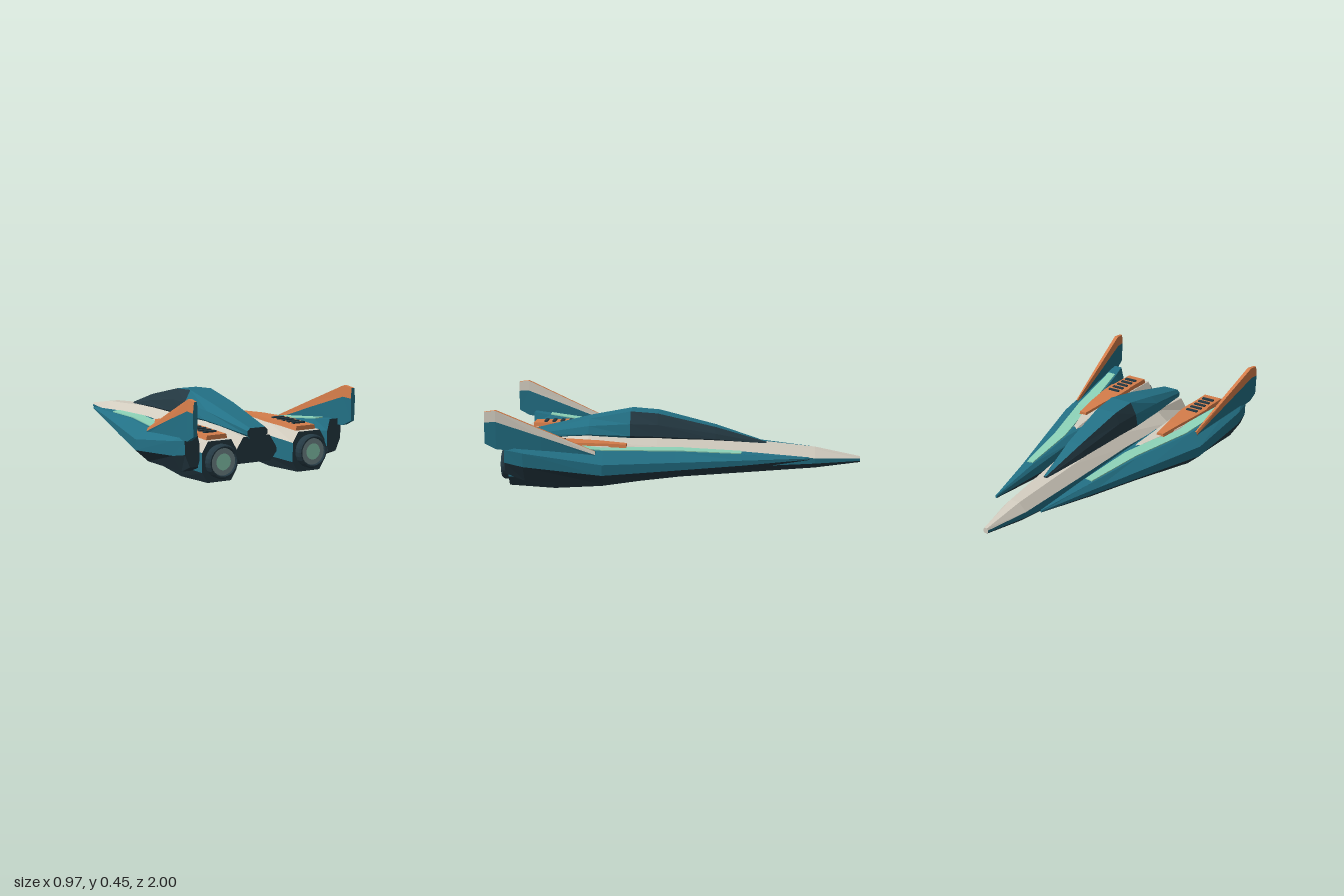
import * as THREE from 'three';

const paint = (name, color) => {
  const m = new THREE.MeshStandardMaterial({ color, flatShading: true });
  m.name = name;
  return m;
};

export function createModel() {
  const teal = paint('teal', 0x237186);
  const navy = paint('navy', 0x253a44);
  const cream = paint('cream', 0xd2ccbf);
  const orange = paint('orange', 0xd57d4a);
  const mint = paint('mint', 0x8dd3b8);
  const grey = paint('grey', 0x758b8f);
  const ship = new THREE.Group();
  ship.name = 'starfighter';

  const add = (parent, name, geo, mat) => {
    const mesh = new THREE.Mesh(geo, mat);
    mesh.name = name;
    parent.add(mesh);
    return mesh;
  };

  // Skin over rings of points (counterclockwise seen from +z, z rising).
  // One material per side, then the front cap and the rear cap.
  function loft(parent, name, rings, sides, caps = [navy, navy], sx = 1) {
    const pos = [], geo = new THREE.BufferGeometry(), mats = [];
    const n = rings[0].p.length;
    const tri = (...pts) => {
      if (sx < 0) pts.reverse();
      pts.forEach(([r, i]) => pos.push(r.p[i][0] * sx, r.p[i][1], r.z));
    };
    const group = (mat, fn) => {
      const start = pos.length / 3;
      fn();
      if (!mats.includes(mat)) mats.push(mat);
      geo.addGroup(start, pos.length / 3 - start, mats.indexOf(mat));
    };
    for (let j = 0; j < n; j++) group(sides[j], () => {
      const k = (j + 1) % n;
      for (let i = 0; i + 1 < rings.length; i++) {
        const a = rings[i], b = rings[i + 1];
        tri([a, j], [a, k], [b, k]);
        tri([a, j], [b, k], [b, j]);
      }
    });
    const first = rings[0], last = rings[rings.length - 1];
    group(caps[0], () => { for (let j = 1; j < n - 1; j++) tri([first, 0], [first, j + 1], [first, j]); });
    group(caps[1], () => { for (let j = 1; j < n - 1; j++) tri([last, 0], [last, j], [last, j + 1]); });
    geo.setAttribute('position', new THREE.Float32BufferAttribute(pos, 3));
    geo.computeVertexNormals();
    return add(parent, name, geo, mats);
  }
  const ring = (z, ...p) => ({ z, p });
  // Symmetric ring from its right half, listed bottom to top
  const sym = (z, ...h) => ring(z, ...h, ...h.map(([x, y]) => [-x, y]).reverse());

  // Long pointed hull
  loft(ship, 'fuselage', [
    sym(-1, [0.008, 0.1], [0.015, 0.108], [0.015, 0.12], [0.008, 0.13]),
    sym(-0.75, [0.035, 0.07], [0.07, 0.1], [0.07, 0.13], [0.028, 0.175]),
    sym(-0.3, [0.06, 0.035], [0.108, 0.08], [0.108, 0.155], [0.055, 0.212]),
    sym(0.12, [0.09, 0.005], [0.14, 0.07], [0.14, 0.18], [0.08, 0.24]),
    sym(0.5, [0.12, 0], [0.18, 0.075], [0.18, 0.19], [0.1, 0.25]),
    sym(0.82, [0.088, 0.07], [0.125, 0.115], [0.122, 0.14], [0.08, 0.205]),
  ], [navy, teal, cream, cream, cream, teal, navy, navy], [cream, navy]);

  // Canopy: dark glass sides in front, solid spine behind
  const canopyMid = sym(0.27, [0.06, 0.19], [0.112, 0.245], [0.1, 0.31], [0.065, 0.375]);
  loft(ship, 'canopy', [
    sym(-0.48, [0.006, 0.185], [0.012, 0.195], [0.01, 0.2], [0.006, 0.205]),
    sym(-0.2, [0.04, 0.19], [0.063, 0.225], [0.056, 0.255], [0.038, 0.29]),
    sym(0.12, [0.05, 0.19], [0.095, 0.24], [0.086, 0.305], [0.06, 0.365]),
    canopyMid,
  ], [navy, navy, navy, teal, navy, navy, navy, navy]);
  loft(ship, 'spine', [
    canopyMid,
    sym(0.5, [0.06, 0.19], [0.115, 0.25], [0.1, 0.295], [0.062, 0.33]),
    sym(0.83, [0.045, 0.195], [0.06, 0.215], [0.06, 0.235], [0.045, 0.25]),
  ], Array(8).fill(teal));

  // Wing rings: bottom inner, bottom outer, outer low, outer high,
  // top outer, top inner, inner high, inner low
  const wing = [
    ring(-0.72, [0.142, 0.138], [0.147, 0.138], [0.151, 0.141], [0.152, 0.147], [0.149, 0.152], [0.144, 0.152], [0.141, 0.148], [0.14, 0.142]),
    ring(-0.35, [0.165, 0.09], [0.21, 0.09], [0.25, 0.122], [0.25, 0.15], [0.222, 0.178], [0.168, 0.184], [0.15, 0.165], [0.148, 0.12]),
    ring(0, [0.18, 0.06], [0.28, 0.06], [0.352, 0.112], [0.352, 0.155], [0.285, 0.2], [0.19, 0.205], [0.155, 0.18], [0.152, 0.1]),
    ring(0.38, [0.22, 0.035], [0.385, 0.035], [0.462, 0.102], [0.462, 0.16], [0.385, 0.217], [0.28, 0.217], [0.17, 0.195], [0.17, 0.09]),
    ring(0.8, [0.33, 0.06], [0.43, 0.06], [0.478, 0.145], [0.482, 0.22], [0.438, 0.26], [0.375, 0.258], [0.345, 0.2], [0.34, 0.12]),
    ring(0.9, [0.395, 0.1], [0.44, 0.1], [0.468, 0.165], [0.47, 0.235], [0.45, 0.27], [0.4, 0.27], [0.385, 0.21], [0.385, 0.13]),
  ];
  // Thin stripe riding on the top face of the wing
  const stripe = wing.slice(1, 5).map(({ z, p }) => {
    const on = (t, lift) => [
      THREE.MathUtils.lerp(p[5][0], p[4][0], t),
      THREE.MathUtils.lerp(p[5][1], p[4][1], t) + lift];
    return ring(z, on(0.12, -0.003), on(0.86, -0.003), on(0.86, 0.005), on(0.12, 0.005));
  });

  // Engine pod rings
  const pod = (z, x, w, b, y0, y1, y2, y3, t) => ring(z,
    [x - b, y0], [x + b, y0], [x + w, y1], [x + w, y2], [x + t, y3], [x - t, y3], [x - w, y2], [x - w, y1]);
  const pods = [
    pod(-0.2, 0.2, 0.02, 0.012, 0.07, 0.09, 0.12, 0.14, 0.012),
    pod(0.14, 0.215, 0.045, 0.03, 0.035, 0.08, 0.17, 0.212, 0.015),
    pod(0.4, 0.26, 0.085, 0.055, 0.01, 0.07, 0.18, 0.23, 0.05),
    pod(0.65, 0.268, 0.107, 0.073, 0, 0.065, 0.175, 0.228, 0.068),
    pod(0.9, 0.27, 0.1, 0.068, 0.012, 0.065, 0.165, 0.22, 0.068),
  ];
  const cover = (z, x0, x1, y) => ring(z, [x0, y - 0.03], [x1, y - 0.03], [x1 - 0.008, y], [x0 + 0.008, y]);

  for (const s of [1, -1]) {
    const side = new THREE.Group();
    side.name = s > 0 ? 'leftSide' : 'rightSide';
    ship.add(side);

    loft(side, 'wing', wing, [navy, navy, teal, teal, teal, teal, teal, navy], [teal, navy], s);
    loft(side, 'wingStripe', stripe, Array(4).fill(mint), [mint, mint], s);
    loft(side, 'enginePod', pods, [navy, navy, teal, cream, cream, cream, teal, navy], [navy, navy], s);
    loft(side, 'engineCover', [
      cover(0.27, 0.235, 0.29, 0.235), cover(0.42, 0.22, 0.312, 0.244), cover(0.6, 0.2, 0.335, 0.247),
      cover(0.68, 0.2, 0.34, 0.247), cover(0.71, 0.205, 0.332, 0.247), cover(0.87, 0.205, 0.332, 0.244),
    ], Array(4).fill(orange), [orange, orange], s);
    for (let i = 0; i < 5; i++)
      add(side, 'coolingSlot', new THREE.BoxGeometry(0.07, 0.012, 0.018), navy)
        .position.set(s * 0.27, 0.248, 0.615 + i * 0.047);

    // Exhaust nozzle with glowing core
    const nozzle = new THREE.Group();
    nozzle.name = 'nozzle';
    nozzle.position.set(s * 0.27, 0.118, 0.9);
    side.add(nozzle);
    const profile = [[0.08, -0.01], [0.087, 0.01], [0.087, 0.035], [0.08, 0.046], [0.073, 0.046], [0.068, 0.034]];
    add(nozzle, 'nozzleRim', new THREE.LatheGeometry(profile.map(p => new THREE.Vector2(...p)), 24).rotateX(Math.PI / 2), navy);
    add(nozzle, 'nozzleRing', new THREE.RingGeometry(0.04, 0.074, 24), grey).position.z = 0.036;
    add(nozzle, 'nozzleCore', new THREE.CircleGeometry(0.042, 24), mint).position.z = 0.039;

    // Upright fin; its trim band is orange toward -x and cream toward +x
    const fin = (z, x0, x1, y0, y1, y2) => ring(z,
      [x0, y0], [x1, y0], [x1 + 0.003, y1], [x1 - 0.003, y2], [x0, y2], [x0 - 0.003, y1]);
    const [outer, inner] = s > 0 ? [cream, orange] : [orange, cream];
    loft(side, 'fin', [
      fin(0.42, 0.404, 0.414, 0.19, 0.205, 0.222),
      fin(0.7, 0.428, 0.45, 0.215, 0.305, 0.343),
      fin(0.94, 0.453, 0.478, 0.24, 0.388, 0.447),
      fin(1, 0.46, 0.48, 0.27, 0.385, 0.44),
    ], [teal, teal, outer, orange, inner, teal], [teal, teal], s);
  }
  return ship;
}
